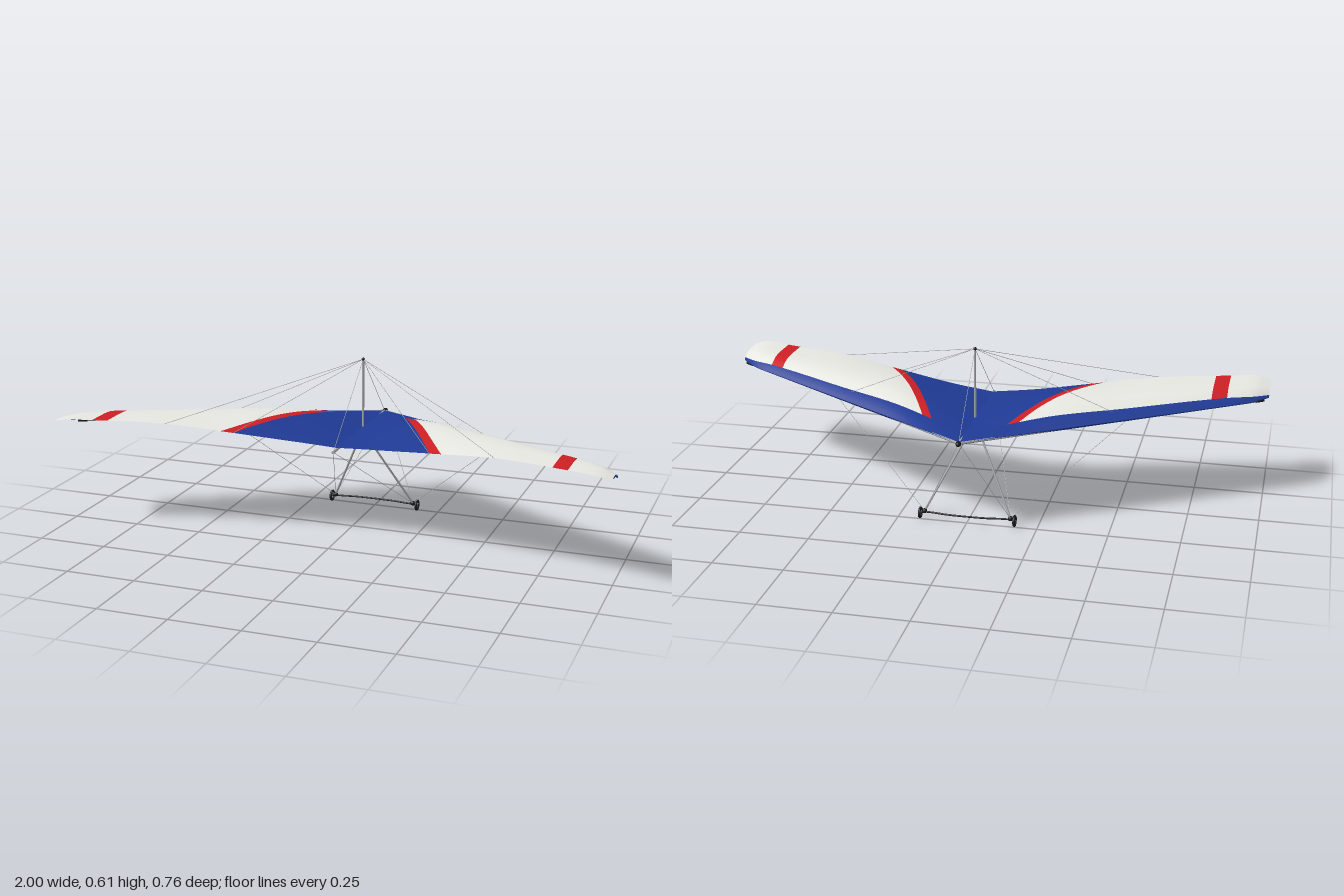
import * as THREE from 'three';

const mat = (name, color, side = THREE.FrontSide) => {
  const m = new THREE.MeshStandardMaterial({ color, side });
  m.name = name;
  return m;
};

// smooth interpolation through a few [x, value] points
function curve(pts) {
  const slope = i => {
    const a = pts[Math.max(i - 1, 0)], b = pts[Math.min(i + 1, pts.length - 1)];
    return (b[1] - a[1]) / (b[0] - a[0]);
  };
  return x => {
    let i = 0;
    while (i < pts.length - 2 && x > pts[i + 1][0]) i++;
    const [x0, y0] = pts[i], [x1, y1] = pts[i + 1], h = x1 - x0, u = (x - x0) / h;
    const u2 = u * u, u3 = u2 * u;
    return (2 * u3 - 3 * u2 + 1) * y0 + (u3 - 2 * u2 + u) * h * slope(i)
      + (3 * u2 - 2 * u3) * y1 + (u3 - u2) * h * slope(i + 1);
  };
}

// sail planform, edge heights, camber and width of the leading edge band
const leadZ = curve([[0, -0.365], [0.4, -0.132], [0.85, 0.13], [0.94, 0.187], [1, 0.25]]);
const trailZ = curve([[0, 0.17], [0.15, 0.19], [0.4, 0.245], [0.85, 0.35], [0.95, 0.38], [1, 0.372]]);
const leadY = x => 0.345 + 0.03 * x;
const trailY = curve([[0, 0.347], [0.18, 0.363], [0.36, 0.383], [0.6, 0.408], [0.85, 0.413], [0.95, 0.413], [1, 0.402]]);
const rise = curve([[0, 0.003], [0.15, 0.034], [0.3, 0.056], [0.5, 0.054], [0.85, 0.044], [0.95, 0.038], [1, 0.025]]);
const camber = curve([[0, 0], [0.06, 0.25], [0.14, 0.5], [0.3, 0.84], [0.5, 0.98], [0.75, 1], [1, 1]]);
const band = curve([[0, 0.16], [0.2, 0.16], [0.5, 0.14], [0.85, 0.13], [1, 0.06]]);
const lerp = THREE.MathUtils.lerp;
const sail = (x, t) => {
  const droop = (leadY(x) + rise(x) - trailY(x)) * t ** 3;
  return new THREE.Vector3(
    x, leadY(x) + rise(x) * camber(t) - droop, lerp(leadZ(x), trailZ(x), t));
};
const rearSail = (x, v) => sail(x, lerp(band(x), 1, v));
const frontBand = (x, v) => sail(x, band(x) * v);
const pocket = (x, v) => {
  const p = frontBand(x, v);
  p.y = lerp(leadY(x), p.y, v * v) - (0.012 - 0.009 * x) * Math.sin(Math.PI * Math.sqrt(v));
  return p;
};

// patch of a surface between two spanwise limits, v running from front to back
function patch(surface, xa, xb, nx, nv, side, up = 1) {
  const pos = [], idx = [];
  for (let j = 0; j <= nv; j++) {
    const v = j / nv;
    for (let i = 0; i <= nx; i++) {
      const p = surface(lerp(xa(v), xb(v), i / nx), v);
      pos.push(p.x * side, p.y, p.z);
    }
  }
  for (let j = 0; j < nv; j++) for (let i = 0; i < nx; i++) {
    const a = j * (nx + 1) + i, b = a + 1, c = a + nx + 1, d = c + 1;
    if (side * up > 0) idx.push(a, c, b, b, c, d);
    else idx.push(a, b, c, b, d, c);
  }
  const g = new THREE.BufferGeometry();
  g.setAttribute('position', new THREE.Float32BufferAttribute(pos, 3));
  g.setIndex(idx);
  g.computeVertexNormals();
  return g;
}

export function createModel() {
  const model = new THREE.Group();
  model.name = 'hangGlider';
  const blue = mat('blueSail', 0x1f3a94, THREE.DoubleSide);
  const white = mat('whiteSail', 0xe6e6e1, THREE.DoubleSide);
  const red = mat('red', 0xcc1f24, THREE.DoubleSide);
  const black = mat('blackFittings', 0x17181a);
  const metal = mat('metalTube', 0xa0a2a7);
  const cable = mat('steelCable', 0xa8a9ab);

  const V = (x, y, z) => new THREE.Vector3(x, y, z);
  const add = (name, geo, material, parent = model) => {
    const m = new THREE.Mesh(geo, material);
    m.name = name;
    parent.add(m);
    return m;
  };
  const rod = (name, a, b, r, material, sides = 12) => {
    const m = add(name, new THREE.CylinderGeometry(r, r, a.distanceTo(b), sides), material);
    m.position.copy(a).lerp(b, 0.5);
    m.quaternion.setFromUnitVectors(V(0, 1, 0), b.clone().sub(a).normalize());
  };
  const ball = (name, p, r, material, sz = 1) => {
    const m = add(name, new THREE.SphereGeometry(r, 16, 12), material);
    m.position.copy(p);
    m.scale.z = sz;
  };
  const wire = (a, b) => rod('riggingWire', a, b, 0.0009, cable, 6);

  const nose = V(0, 0.342, -0.362), mastTop = V(0, 0.6, -0.115);
  const keelRear = V(0, 0.338, 0.195);

  // centre frame
  rod('keel', V(0, 0.338, 0.2), nose, 0.005, metal);
  rod('kingpost', V(0, 0.338, -0.115), mastTop, 0.004, metal);
  ball('kingpostCap', mastTop, 0.006, black);
  ball('noseCap', V(0, 0.342, -0.367), 0.0095, black, 1.5);
  wire(mastTop, nose);
  wire(mastTop, keelRear);

  // hang strap and clip
  const strap = add('hangStrap', new THREE.BoxGeometry(0.01, 0.03, 0.005), red);
  strap.position.set(0, 0.329, -0.088);
  const clip = add('hangClip', new THREE.TorusGeometry(0.007, 0.0015, 8, 20), metal);
  clip.position.set(0, 0.318, -0.093);
  clip.rotation.y = Math.PI / 2;
  clip.scale.y = 1.5;

  // base bar, bowed between the two corners
  const bar = new THREE.CatmullRomCurve3([
    V(-0.172, 0.025, -0.242), V(-0.13, 0.025, -0.242), V(-0.07, 0.025, -0.25),
    V(0.07, 0.025, -0.25), V(0.13, 0.025, -0.242), V(0.172, 0.025, -0.242)]);
  add('baseBar', new THREE.TubeGeometry(bar, 40, 0.0033, 10), black);

  for (const s of [1, -1]) {
    const onTrail = x => { const p = sail(x, 1); p.x *= s; return p; };
    const at = x => () => x;
    const stripeIn = v => lerp(0.133, 0.362, v);
    const stripeOut = v => lerp(0.172, 0.405, v);

    // sail panels
    const panel = (name, a, b, nx, m) => add(name, patch(rearSail, a, b, nx, 24, s), m);
    panel('centrePanel', at(0), stripeIn, 16, blue);
    panel('diagonalStripe', stripeIn, stripeOut, 4, red);
    panel('mainPanel', stripeOut, at(0.803), 32, white);
    panel('tipStripe', at(0.803), at(0.856), 4, red);
    panel('tipPanel', at(0.856), at(1), 16, white);
    add('leadingEdgeBand', patch(frontBand, at(0), at(1), 60, 8, s), blue);
    add('leadingEdgePocket', patch(pocket, at(0), at(1), 60, 10, s, -1), blue);

    // wing frame
    const sparEnd = V(s * 0.955, 0.368, 0.215);
    rod('leadingEdgeSpar', nose, sparEnd, 0.0045, metal);
    rod('sparEndCap', sparEnd, V(s * 0.983, 0.3685, 0.233), 0.0055, black);
    const joint = V(s * 0.53, 0.357, -0.04);
    rod('crossbar', V(0, 0.339, -0.085), joint, 0.006, metal);
    ball('crossbarJoint', joint, 0.007, black);

    // control frame
    const corner = V(s * 0.155, 0.028, -0.24);
    rod('upright', V(s * 0.006, 0.322, -0.115), corner, 0.0038, metal);
    ball('uprightTop', V(s * 0.006, 0.321, -0.115), 0.005, black);
    ball('cornerFitting', corner, 0.009, black);

    // wheel
    const wheel = new THREE.Group();
    wheel.name = 'wheel';
    wheel.position.set(s * 0.17, 0.0215, -0.243);
    wheel.rotation.y = Math.PI / 2;
    model.add(wheel);
    add('tyre', new THREE.TorusGeometry(0.0163, 0.0048, 10, 32), black, wheel);
    const hub = add('hub', new THREE.CylinderGeometry(0.005, 0.005, 0.01, 16), black, wheel);
    hub.rotation.x = Math.PI / 2;
    for (let i = 0; i < 5; i++) {
      const a = i * Math.PI * 2 / 5;
      const spoke = add('spoke', new THREE.BoxGeometry(0.003, 0.013, 0.004), metal, wheel);
      spoke.position.set(-Math.sin(a) * 0.009, Math.cos(a) * 0.009, 0);
      spoke.rotation.z = a;
    }

    // rigging
    wire(mastTop, onTrail(0.6));
    wire(mastTop, onTrail(0.36));
    wire(mastTop, joint);
    wire(corner, joint);
    wire(corner, nose);
    wire(corner, keelRear);
  }
  return model;
}
